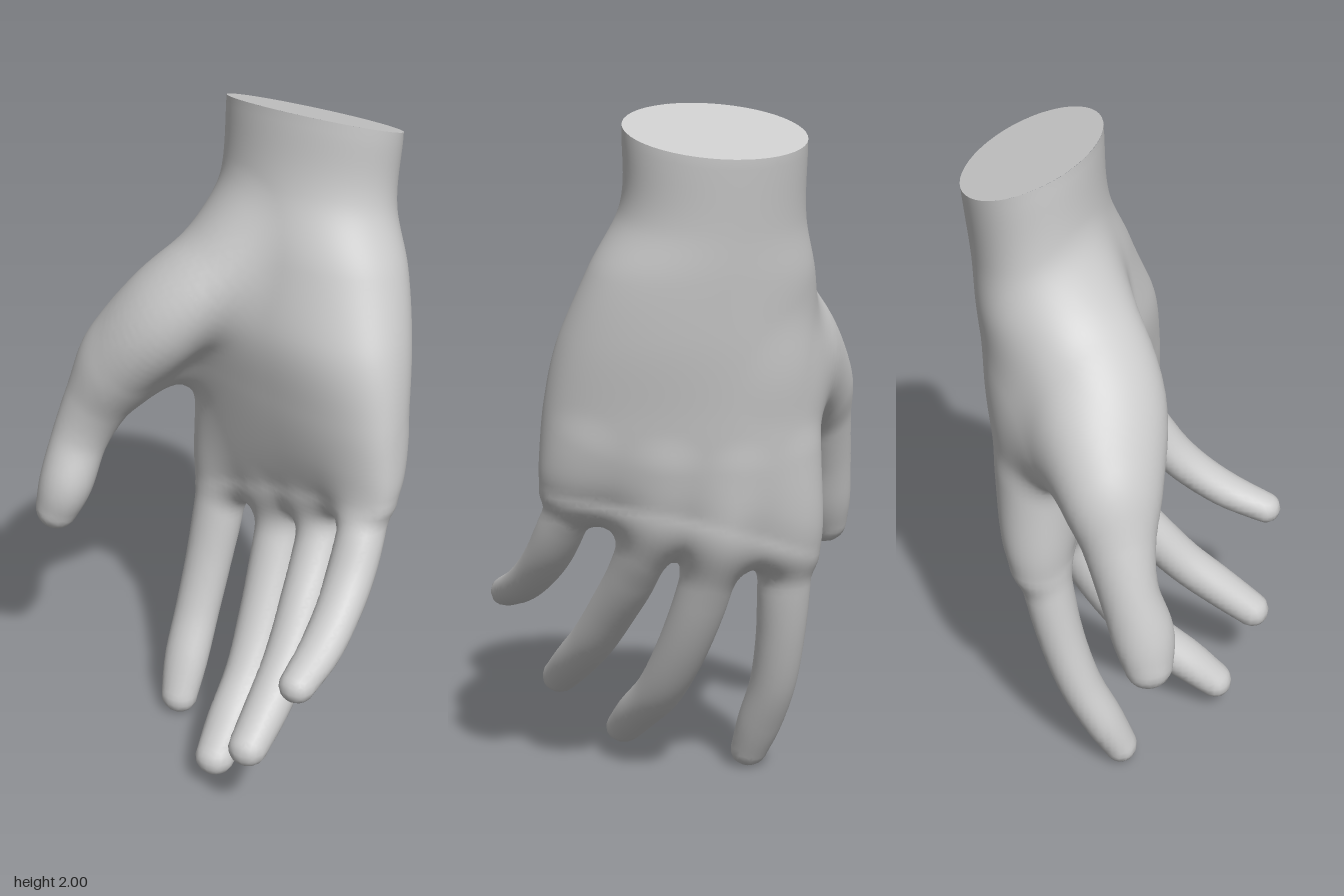
import * as THREE from 'three';

const V = (x, y, z) => new THREE.Vector3(x, y, z);
const WRIST = { x: 0.246, y: 1.935, z: 0.108, rx: 0.19, rz: 0.263, slope: -0.35 };

// Palm and wrist rows, bottom to top:
// [y, centre x, centre z, half x, half z, shear, arch, squareness]
const PALM = [
  [0.86, 0.15, 0.155, 0.115, 0.365, -0.24, 0.04, 0.92],
  [0.93, 0.152, 0.155, 0.138, 0.38, -0.22, 0.04, 0.88],
  [1.02, 0.153, 0.155, 0.16, 0.385, -0.2, 0.04, 0.86],
  [1.18, 0.155, 0.15, 0.187, 0.383, -0.16, 0.04, 0.88],
  [1.37, 0.163, 0.145, 0.211, 0.357, -0.1, 0.03, 0.9],
  [1.55, 0.193, 0.12, 0.204, 0.323, -0.04, 0.01, 0.95],
  [1.71, 0.225, 0.105, 0.187, 0.268, 0, 0, 1],
  [WRIST.y, WRIST.x, WRIST.z, WRIST.rx, WRIST.rz, 0, 0, 1],
];

// Limb rows from root to tip: [x, y, z, half width, half thickness]
const INDEX_FINGER = [
  [0.2, 1.02, -0.12, 0.06, 0.06], [0.185, 0.82, -0.145, 0.074, 0.08], [0.155, 0.63, -0.155, 0.078, 0.074],
  [0.115, 0.46, -0.165, 0.073, 0.068], [0.06, 0.3, -0.17, 0.07, 0.064], [-0.01, 0.16, -0.163, 0.07, 0.06],
  [-0.062, 0.055, -0.153, 0.058, 0.05],
];
const MIDDLE_FINGER = [
  [0.22, 1.0, 0.06, 0.06, 0.06], [0.195, 0.81, 0.075, 0.074, 0.085], [0.12, 0.61, 0.09, 0.078, 0.075],
  [0.02, 0.425, 0.11, 0.076, 0.07], [-0.09, 0.275, 0.13, 0.072, 0.066], [-0.21, 0.175, 0.145, 0.07, 0.06],
  [-0.3, 0.1, 0.154, 0.06, 0.05],
];
const RING_FINGER = [
  [0.19, 1.02, 0.25, 0.06, 0.06], [0.145, 0.84, 0.262, 0.072, 0.08], [0.05, 0.68, 0.275, 0.073, 0.072],
  [-0.06, 0.545, 0.295, 0.07, 0.068], [-0.16, 0.435, 0.312, 0.068, 0.064], [-0.27, 0.345, 0.324, 0.066, 0.06],
  [-0.383, 0.262, 0.33, 0.058, 0.052],
];
const LITTLE_FINGER = [
  [0.1, 1.08, 0.41, 0.055, 0.055], [0.05, 0.94, 0.44, 0.066, 0.066], [-0.02, 0.83, 0.46, 0.07, 0.065],
  [-0.09, 0.735, 0.472, 0.07, 0.06], [-0.17, 0.66, 0.483, 0.066, 0.056], [-0.27, 0.595, 0.492, 0.062, 0.052],
  [-0.387, 0.547, 0.496, 0.052, 0.046],
];
const THUMB = [
  [0.14, 1.66, 0.02, 0.08, 0.08], [0.065, 1.52, -0.06, 0.155, 0.12], [-0.025, 1.36, -0.195, 0.175, 0.135],
  [-0.075, 1.19, -0.33, 0.147, 0.12], [-0.11, 1.05, -0.4, 0.104, 0.098], [-0.147, 0.92, -0.445, 0.084, 0.084],
  [-0.193, 0.79, -0.464, 0.09, 0.08], [-0.215, 0.7, -0.487, 0.07, 0.064],
];
const THUMB_WEB = [
  [0.18, 1.31, -0.07, 0.19, 0.11], [0.09, 1.25, -0.22, 0.165, 0.115], [-0.04, 1.17, -0.33, 0.11, 0.09],
];

const smooth = THREE.MathUtils.smoothstep;
const clamp = THREE.MathUtils.clamp;

// Smooth union of two distances, rounding the join over width k.
function blend(a, b, k) {
  const h = Math.max(k - Math.abs(a - b), 0);
  return Math.min(a, b) - (h * h) / (4 * k);
}

// Distance to an oval cross-section, from offsets and radii on three axes.
function oval(a, b, c, ra, rb, rc, power) {
  const e = 2 / power;
  const flat = power === 1 ? (a / ra) ** 2 + (b / rb) ** 2
    : (Math.abs(a / ra) ** e + Math.abs(b / rb) ** e) ** power;
  const k = Math.sqrt(flat + (c / rc) ** 2);
  return k < 1e-5 ? -Math.min(ra, rb) : Math.sqrt(a * a + b * b + c * c) * (1 - 1 / k);
}

const palmSpline = new THREE.CubicInterpolant(PALM.map((r) => r[0]), PALM.flat(), PALM[0].length);

// Palm distance; levels tilt with the wrist cut above and the knuckle line below.
function palm(x, y, z) {
  const level = y - WRIST.slope * clamp(x - WRIST.x, -0.25, 0.25) * smooth(y, 1.4, 1.85)
    - 0.35 * clamp(z - 0.15, -0.4, 0.4) * (1 - smooth(y, 0.75, 1.15));
  const [bottom, cx, cz, rx, rz, shear, arch, power] = palmSpline.evaluate(clamp(level, PALM[0][0], WRIST.y));
  const dz = z - cz;
  const dx = x - cx - shear * dz + arch * Math.min((dz / rz) ** 2, 1.5);
  return oval(dx, dz, Math.min(level - bottom, 0), rx, rz, 0.115, power);
}

// Distance function of a round-ended limb whose half width lies along sideDir.
function limb(rows, sideDir) {
  const steps = 10;
  const spline = new THREE.CubicInterpolant(rows.map((_, i) => i), rows.flat(), 5);
  const s = Array.from({ length: (rows.length - 1) * steps + 1 }, (_, i) => [...spline.evaluate(i / steps)]);
  const bounds = new THREE.Sphere().setFromPoints(s.map((r) => V(r[0], r[1], r[2])));
  const segments = s.slice(1).map((b, i) => {
    const a = s[i];
    const axis = V(b[0] - a[0], b[1] - a[1], b[2] - a[2]);
    const length = axis.length();
    axis.divideScalar(length);
    const side = sideDir.clone().addScaledVector(axis, -sideDir.dot(axis)).normalize();
    return { a, b, axis, length, side, up: axis.clone().cross(side) };
  });
  return (x, y, z) => {
    const far = Math.hypot(x - bounds.center.x, y - bounds.center.y, z - bounds.center.z) - bounds.radius;
    if (far > 0.4) return far;
    let best = Infinity;
    for (const { a, b, axis, length, side, up } of segments) {
      const dx = x - a[0], dy = y - a[1], dz = z - a[2];
      const along = dx * axis.x + dy * axis.y + dz * axis.z;
      const h = clamp(along / length, 0, 1);
      const w = a[3] + (b[3] - a[3]) * h, t = a[4] + (b[4] - a[4]) * h;
      best = Math.min(best, oval(dx * side.x + dy * side.y + dz * side.z, dx * up.x + dy * up.y + dz * up.z,
        along - h * length, w, t, (w + t) / 2, 1));
    }
    return best;
  };
}

const fingers = [INDEX_FINGER, MIDDLE_FINGER, RING_FINGER, LITTLE_FINGER].map((rows) => limb(rows, V(0, 0, 1)));
const thumb = limb(THUMB, V(0.69, 0, -0.72));
const thumbWeb = limb(THUMB_WEB, V(0, 1, 0));

// The whole hand as one blended distance.
function hand(x, y, z) {
  const base = blend(palm(x, y, z), blend(thumb(x, y, z), thumbWeb(x, y, z), 0.08), 0.1);
  return blend(base, fingers.reduce((d, f) => blend(d, f(x, y, z), 0.03), 1), 0.1);
}

function gradient(p) {
  const e = 0.015;
  return V(hand(p.x + e, p.y, p.z) - hand(p.x - e, p.y, p.z), hand(p.x, p.y + e, p.z) - hand(p.x, p.y - e, p.z),
    hand(p.x, p.y, p.z + e) - hand(p.x, p.y, p.z - e)).divideScalar(2 * e);
}

// Skins the hand on a grid whose top layer follows the slanted wrist cut.
function skinGeometry() {
  const step = 0.02, n = [50, 99, 63];
  const place = (i, j, k) => {
    const x = -0.5 + i * step, level = WRIST.y - (n[1] - j) * step;
    return V(x, level + WRIST.slope * clamp(x - WRIST.x, -0.25, 0.25) * smooth(level, 1.2, 1.93), -0.63 + k * step);
  };
  const stride = [1, n[0] + 1, (n[0] + 1) * (n[1] + 1)];
  const id = (i, j, k) => i + j * stride[1] + k * stride[2];
  const eachCell = (visit) => {
    for (let k = 0; k < n[2]; k++) for (let j = 0; j < n[1]; j++) for (let i = 0; i < n[0]; i++) visit(i, j, k);
  };
  const field = new Float32Array(stride[2] * (n[2] + 1));
  for (let k = 0; k <= n[2]; k++) for (let j = 0; j <= n[1]; j++) for (let i = 0; i <= n[0]; i++) {
    const p = place(i, j, k);
    field[id(i, j, k)] = hand(p.x, p.y, p.z);
  }

  // One vertex in every cell the surface passes through.
  const positions = [], normals = [], vertex = new Map();
  eachCell((i, j, k) => {
    const sum = V(0, 0, 0);
    let hits = 0;
    for (let c = 0; c < 8; c++) for (let axis = 0; axis < 3; axis++) {
      if (c & (1 << axis)) continue;
      const corner = [c & 1, (c >> 1) & 1, c >> 2];
      const at = id(i + corner[0], j + corner[1], k + corner[2]);
      const f0 = field[at], f1 = field[at + stride[axis]];
      if (f0 < 0 === f1 < 0) continue;
      corner[axis] = f0 / (f0 - f1);
      sum.add(V(...corner));
      hits++;
    }
    if (!hits) return;
    sum.divideScalar(hits);
    const top = j === n[1] - 1;
    const p = place(i + sum.x, top ? n[1] : j + sum.y, k + sum.z);
    const g = gradient(p);
    if (!top) p.addScaledVector(g, -clamp(hand(p.x, p.y, p.z) / Math.max(g.lengthSq(), 0.25), -0.01, 0.01));
    vertex.set(id(i, j, k), positions.length / 3);
    positions.push(p.x, p.y, p.z);
    normals.push(...g.normalize());
  });

  // One quad around every grid edge the surface crosses.
  const index = [];
  eachCell((i, j, k) => {
    const at = id(i, j, k);
    for (let axis = 0; axis < 3; axis++) {
      const inside = field[at] < 0;
      if (inside === field[at + stride[axis]] < 0) continue;
      const b = stride[(axis + 1) % 3], c = stride[(axis + 2) % 3];
      const q = [at, at - b, at - b - c, at - c].map((cell) => vertex.get(cell));
      if (q.includes(undefined)) continue;
      if (!inside) q.reverse();
      index.push(q[0], q[1], q[2], q[0], q[2], q[3]);
    }
  });
  const geo = new THREE.BufferGeometry();
  geo.setAttribute('position', new THREE.Float32BufferAttribute(positions, 3));
  geo.setAttribute('normal', new THREE.Float32BufferAttribute(normals, 3));
  geo.setIndex(index);
  return geo;
}

// Flat oval closing the slanted wrist.
function wristGeometry() {
  const geo = new THREE.CircleGeometry(1, 48).rotateX(-Math.PI / 2).scale(WRIST.rx, 1, WRIST.rz);
  geo.applyMatrix4(new THREE.Matrix4().makeShear(WRIST.slope, 0, 0, 0, 0, 0)).translate(WRIST.x, WRIST.y, WRIST.z);
  geo.computeVertexNormals();
  return geo;
}

export function createModel() {
  const model = new THREE.Group();
  model.name = 'hand';
  const material = new THREE.MeshStandardMaterial({ color: 0xcccccc });
  for (const [name, geometry] of [['handSkin', skinGeometry()], ['wristCut', wristGeometry()]]) {
    const mesh = new THREE.Mesh(geometry, material);
    mesh.name = name;
    model.add(mesh);
  }
  return model;
}
